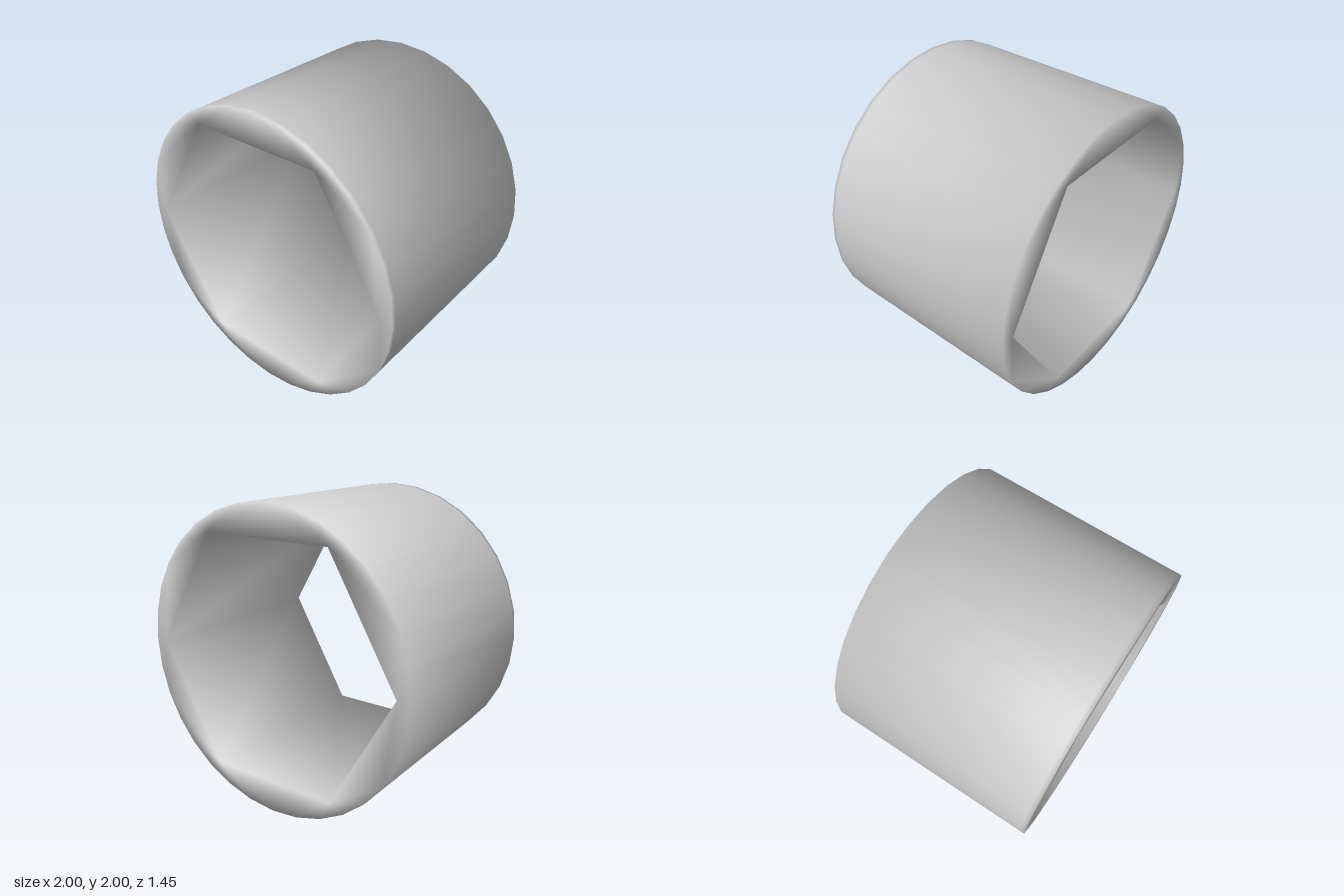
import * as THREE from 'three';

const SIDES = 32, HEX = 6;
const RADIUS = 1, HEX_RADIUS = 0.91, HALF = 0.725;

export function createModel() {
  const positions = [], normals = [], index = [];

  // Adds a ring of points around z; normals lean by nr outward and nz along z.
  function ring(count, radius, z, nr, nz) {
    const start = positions.length / 3;
    const len = Math.hypot(nr, nz);
    for (let i = 0; i < count; i++) {
      const a = (i / count) * Math.PI * 2;
      const c = Math.cos(a), s = Math.sin(a);
      positions.push(c * radius, s * radius, z);
      normals.push((c * nr) / len, (s * nr) / len, nz / len);
    }
    return { start, count, at: (i) => start + (i % count) };
  }

  function tri(a, b, c, flip) {
    if (flip) index.push(a, c, b);
    else index.push(a, b, c);
  }

  // Wall between two rings with the same number of points
  function wall(back, front, flip) {
    for (let i = 0; i < back.count; i++) {
      tri(back.at(i), back.at(i + 1), front.at(i + 1), flip);
      tri(back.at(i), front.at(i + 1), front.at(i), flip);
    }
  }

  // End face between the round rim and the hexagonal opening
  function endFace(outer, inner, flip) {
    const corner = (i) => Math.round((i * HEX) / SIDES);
    for (let i = 0; i < SIDES; i++) {
      const k = corner(i), next = corner(i + 1);
      tri(outer.at(i), outer.at(i + 1), inner.at(k), flip);
      if (next !== k) tri(inner.at(k), outer.at(i + 1), inner.at(next), flip);
    }
  }

  // Softly shaded rims, with a tighter edge loop near the front
  const outerBack = ring(SIDES, RADIUS, -HALF, 1, -1);
  const outerLoop = ring(SIDES, RADIUS, HALF - 0.03, 1, 0);
  const outerFront = ring(SIDES, RADIUS, HALF, 1, 1);
  const hexFront = ring(HEX, HEX_RADIUS, HALF, -1, 1);
  const hexBack = ring(HEX, HEX_RADIUS, -HALF, -1, -1);

  wall(outerBack, outerLoop, false);
  wall(outerLoop, outerFront, false);
  wall(hexBack, hexFront, true);
  endFace(outerFront, hexFront, false);
  endFace(outerBack, hexBack, true);

  const geometry = new THREE.BufferGeometry();
  geometry.setAttribute('position', new THREE.Float32BufferAttribute(positions, 3));
  geometry.setAttribute('normal', new THREE.Float32BufferAttribute(normals, 3));
  geometry.setIndex(index);

  const sleeve = new THREE.Mesh(
    geometry,
    new THREE.MeshStandardMaterial({ color: 0xcccccc, side: THREE.DoubleSide })
  );
  sleeve.name = 'hexBoreSleeve';
  sleeve.position.y = RADIUS;

  const group = new THREE.Group();
  group.name = 'sleeve';
  group.add(sleeve);
  return group;
}
